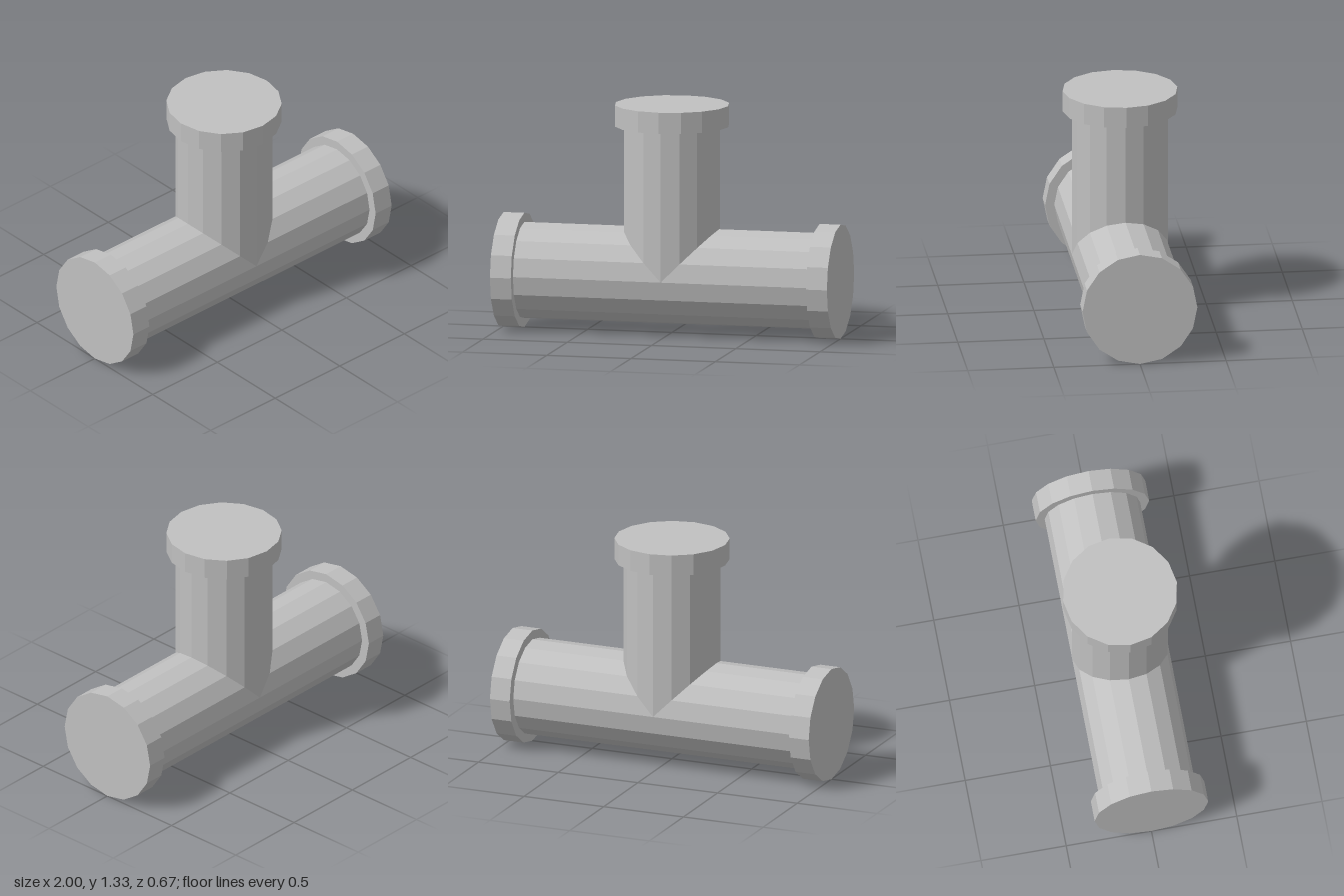
import * as THREE from 'three';

const SIDES = 16;
const PIPE_R = 0.28, CAP_R = 0.333;
const AXIS_Y = 0.333, TOP_Y = 1.333, CAP_LEN = 0.124;

export function createModel() {
  const group = new THREE.Group();
  const grey = new THREE.MeshStandardMaterial({ color: 0xc0c0c0 });
  grey.name = 'pipe grey';
  grey.flatShading = true;

  const add = (name, geometry, x, y) => {
    const mesh = new THREE.Mesh(geometry, grey);
    mesh.name = name;
    mesh.position.set(x, y, 0);
    group.add(mesh);
  };
  const cylinder = (r, length, open = false) =>
    new THREE.CylinderGeometry(r, r, length, SIDES, 1, open);

  // Horizontal run with a flanged cap at each end
  add('mainPipe', cylinder(PIPE_R, 2 - 2 * CAP_LEN, true).rotateZ(Math.PI / 2), 0, AXIS_Y);
  for (const side of [-1, 1]) {
    add(side > 0 ? 'leftEndCap' : 'rightEndCap',
      cylinder(CAP_R, CAP_LEN).rotateZ(Math.PI / 2), side * (1 - CAP_LEN / 2), AXIS_Y);
  }

  // Vertical branch, its lower rim mitred to meet the equal-sized run along 45-degree seams
  const length = TOP_Y - CAP_LEN - AXIS_Y;
  const branch = cylinder(PIPE_R, length, true).translate(0, length / 2, 0);
  const p = branch.attributes.position;
  for (let i = 0; i < p.count; i++) {
    if (p.getY(i) < length / 2) p.setY(i, Math.abs(p.getX(i)));
  }
  branch.computeVertexNormals();
  add('branchPipe', branch, 0, AXIS_Y);
  add('branchCap', cylinder(CAP_R, CAP_LEN), 0, TOP_Y - CAP_LEN / 2);

  return group;
}
